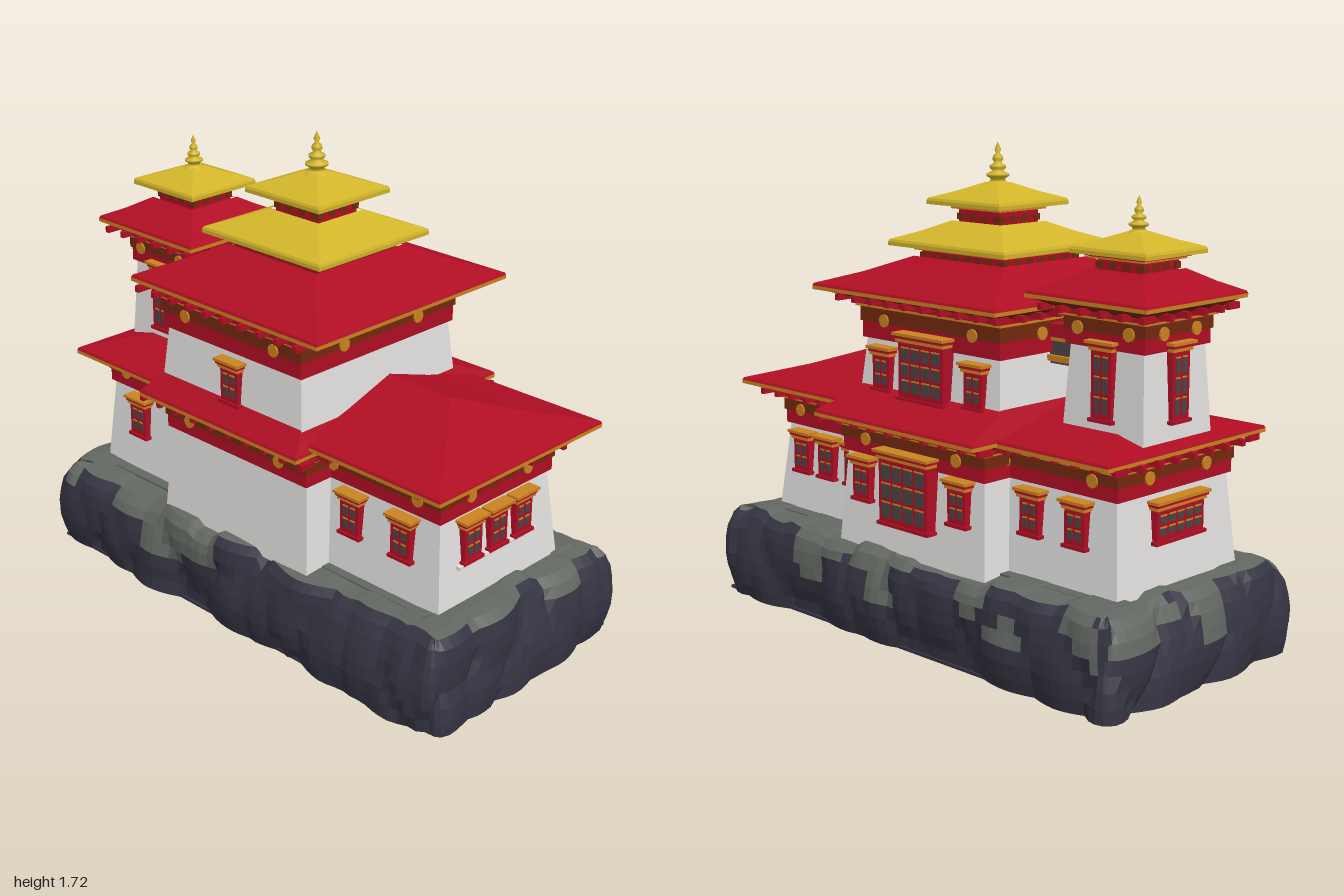
import * as THREE from 'three';

const mat = (name, color, side = THREE.FrontSide) => {
  const m = new THREE.MeshStandardMaterial({ color, side });
  m.name = name;
  return m;
};

export function createModel() {
  const model = new THREE.Group();
  model.name = 'fortressTemple';
  const red = mat('red', 0xb00e24), gold = mat('gold', 0xd2b52a), white = mat('whitewash', 0xe2e1e0);
  const orange = mat('orange', 0xcc8420), brown = mat('brown', 0x74290f), pane = mat('windowPane', 0x4a4644);
  const darkRock = mat('darkRock', 0x353442), greyRock = mat('greyRock', 0x636862);

  let seed = 11;
  const rand = () => (seed = (seed * 16807) % 2147483647) / 2147483647;

  const add = (name, geo, material, parent = model) => {
    const m = new THREE.Mesh(geo, material);
    m.name = name;
    parent.add(m);
    return m;
  };
  const unitBox = new THREE.BoxGeometry(1, 1, 1);
  const box = (name, w, h, d, x, y, z, material, parent) => {
    const m = add(name, unitBox, material, parent);
    m.scale.set(w, h, d);
    m.position.set(x, y, z);
    return m;
  };

  // Loft through rectangles [cx, cz, hx, hz, y], one material per step
  function loft(name, rings, mats, parent) {
    const pos = [], geo = new THREE.BufferGeometry();
    const corner = ([cx, cz, hx, hz, y], i) => {
      const [sx, sz] = [[-1, 1], [1, 1], [1, -1], [-1, -1]][i % 4];
      return [cx + sx * hx, y, cz + sz * hz];
    };
    for (let k = 0; k + 1 < rings.length; k++) {
      for (let i = 0; i < 4; i++) {
        const a = corner(rings[k], i), b = corner(rings[k], i + 1);
        const c = corner(rings[k + 1], i + 1), d = corner(rings[k + 1], i);
        pos.push(...a, ...b, ...c, ...a, ...c, ...d);
      }
      geo.addGroup(k * 24, 24, k);
    }
    geo.setAttribute('position', new THREE.Float32BufferAttribute(pos, 3));
    geo.computeVertexNormals();
    return add(name, geo, mats, parent);
  }

  // Hipped roof: soffit, rim, then a slightly concave slope up to the top rectangle
  function roof(name, inner, eave, top, skin, rim) {
    const [cx, cz, hx, hz, y] = eave, t = 0.022;
    const mid = eave.map((v, i) => v + (top[i] - v) * 0.5);
    mid[4] = y + t + (top[4] - y - t) * 0.43;
    loft(name, [inner, [cx, cz, hx - 0.012, hz - 0.012, y], eave, [cx, cz, hx, hz, y + t * 0.6],
      [cx, cz, hx - 0.004, hz - 0.004, y + t], mid, top], [brown, rim, rim, skin, skin, skin]);
  }

  // Evenly spaced blocks round a rectangle
  function blocks(name, [cx, cz, hx, hz, y], step, w, h, d, material) {
    const g = new THREE.Group();
    g.name = name;
    model.add(g);
    for (const s of [-1, 1]) {
      const nx = Math.round(2 * hx / step), nz = Math.round(2 * hz / step);
      for (let i = 0; i <= nx; i++) box('bracket', w, h, d, cx - hx + 2 * hx * i / nx, y, cz + s * hz, material, g);
      for (let i = 1; i < nz; i++) box('bracket', d, h, w, cx + s * hx, y, cz - hz + 2 * hz * i / nz, material, g);
    }
  }

  // Battered wall with layered bands on top; returns the ring where the soffit starts
  function storey(name, [cx, cz, hx, hz], taper, y0, y1, h) {
    const r = (o, y) => [cx, cz, hx - taper + o, hz - taper + o, y];
    const a = y1 + h * 0.42, b = y1 + h * 0.8, c = y1 + h * 0.88, d = y1 + h;
    loft(name + 'Wall', [[cx, cz, hx, hz, y0], r(0, y1)], [white]);
    loft(name + 'Bands', [r(0, y1), r(0.012, y1), r(0.012, a), r(0.018, a), r(0.018, b), r(0.03, b), r(0.03, c),
      r(0.04, c), r(0.04, d), r(0, d)], [red, red, brown, brown, orange, orange, red, red, red]);
    blocks(name + 'Brackets', r(0.06, d + 0.003), 0.085, 0.018, 0.022, 0.06, red);
    // round bosses on the bands
    const disc = new THREE.CylinderGeometry(0.023, 0.023, 0.008, 12).rotateX(Math.PI / 2);
    const dy = y1 + h * 0.5, ox = hx - taper + 0.02, oz = hz - taper + 0.02;
    for (const s of [-1, 1]) for (const t of [-1, 1]) {
      add('bandBoss', disc, orange).position.set(cx + s * hx * 0.62, dy, cz + t * oz);
      const m = add('bandBoss', disc, orange);
      m.rotation.y = Math.PI / 2;
      m.position.set(cx + t * ox, dy, cz + s * hz * 0.47);
    }
    return r(0.035, d);
  }

  // Framed window with panes, stepped lintel and sill; y is its middle
  function windowUnit(x, y, z, turn, w = 0.085, h = 0.125, cols = 2, rows = 2, depth = 0.036) {
    const g = new THREE.Group();
    g.name = 'window';
    g.position.set(x, y, z);
    g.rotation.y = turn;
    model.add(g);
    box('frame', w, h, depth, 0, 0, 0, red, g);
    const f = depth / 2, cw = (w - 0.018) / cols, ch = (h - 0.03) / rows;
    for (let i = 0; i < cols; i++) for (let j = 0; j < rows; j++) {
      const px = (i - (cols - 1) / 2) * cw, py = (j - (rows - 1) / 2) * ch - 0.002;
      box('pane', cw - 0.011, ch - 0.014, 0.004, px, py, f, pane, g);
      box('paneRail', cw - 0.011, 0.005, 0.006, px, py + ch / 2 - 0.006, f, orange, g);
    }
    box('lintel', w + 0.014, 0.012, depth + 0.016, 0, h / 2 + 0.002, 0, orange, g);
    box('lintelBeam', w + 0.022, 0.01, depth + 0.024, 0, h / 2 + 0.013, 0, red, g);
    box('lintelCap', w + 0.034, 0.01, depth + 0.036, 0, h / 2 + 0.023, 0, orange, g);
    box('sill', w + 0.016, 0.012, depth + 0.014, 0, -h / 2 - 0.004, 0, red, g);
  }

  // Small lantern storey between stacked roofs
  function neck(name, cx, cz, hx, hz, y0, y1) {
    const r = (o, y) => [cx, cz, hx + o, hz + o, y], m = y1 - 0.022;
    loft(name, [r(0, y0), r(0, m), r(0.02, m), r(0.02, m + 0.008), r(0.03, m + 0.008), r(0.03, y1)],
      [red, orange, orange, red, red]);
    blocks(name + 'Panes', [cx, cz, hx - 0.01, hz - 0.01, (y0 + m) / 2 + 0.004], 0.055, 0.034, 0.022, 0.026, brown);
    return r(0.02, y1);
  }

  function finial(x, y, z, s) {
    const profile = [[0.055, 0], [0.05, 0.012], [0.03, 0.02], [0.026, 0.03], [0.042, 0.04], [0.042, 0.048], [0.02, 0.058],
      [0.03, 0.07], [0.03, 0.078], [0.013, 0.088], [0.02, 0.1], [0.018, 0.112], [0.007, 0.122], [0.012, 0.136], [0, 0.165]];
    const m = add('finial', new THREE.LatheGeometry(profile.map(p => new THREE.Vector2(...p)), 16), gold);
    m.position.set(x, y, z);
    m.scale.setScalar(s);
  }

  // Rock base: rounded rectangle rings pushed in by chunky cells
  function rockBase() {
    const N = 168, per = 6.04, cells = [];
    for (let i = 0; i < 60; i++) {
      cells.push({ s: (i + rand() * 0.8) * per / 60, y: rand() * 0.34, tilt: rand() - 0.5, lean: rand() - 0.5,
        green: 0.1 + rand() * 0.42 });
    }
    const nearest = (s, y) => {
      let best = null, d = 9, ds = 0;
      for (const c of cells) {
        const u = ((s - c.s + per * 1.5) % per) - per / 2, e = Math.hypot(u, (y - c.y) * 0.8);
        if (e < d) { d = e; best = c; ds = u; }
      }
      return { c: best, d, ds };
    };
    const rows = [[0, 0], [0.05, 0], [0.1, 0], [0.15, 0.004], [0.2, 0.01], [0.25, 0.016], [0.29, 0.026], [0.318, 0.05],
      [0.325, 0.1], [0.33, 0.24]];
    const point = (i, k) => {
      const s = ((i % N) / N) * per, [y, inset] = rows[k], r = 0.09;
      let x, z;
      if (s < 2) [x, z] = [s - 1, 0.51];
      else if (s < 3.02) [x, z] = [1, 0.51 - (s - 2)];
      else if (s < 5.02) [x, z] = [1 - (s - 3.02), -0.51];
      else [x, z] = [-1, -0.51 + (s - 5.02)];
      const n = nearest(s, y), clamp = THREE.MathUtils.clamp;
      const push = k > 8 ? 0 : Math.min(0.05, n.d * n.d * 1.6 + Math.max(0, n.ds * n.c.tilt * 0.4 + (y - n.c.y) * n.c.lean * 0.2));
      const qx = clamp(x, -1 + r, 1 - r), qz = clamp(z, -0.51 + r, 0.51 - r);
      const l = Math.hypot(x - qx, z - qz), f = (r - push - inset) / l;
      return [qx + (x - qx) * f, y + (k > 5 && k < 9 ? n.c.lean * 0.03 : 0), qz + (z - qz) * f];
    };
    const dark = [], grey = [];
    for (let k = 0; k + 1 < rows.length; k++) for (let i = 0; i < N; i++) {
      const a = point(i, k), b = point(i + 1, k), c = point(i + 1, k + 1), d = point(i, k + 1);
      const cell = nearest((i + 0.5) / N * per, rows[k][0]).c;
      (k > 6 || rows[k][0] > cell.green ? grey : dark).push(...a, ...b, ...c, ...a, ...c, ...d);
    }
    for (const [name, pos, m] of [['rockSides', dark, darkRock], ['rockPatches', grey, greyRock]]) {
      const g = new THREE.BufferGeometry();
      g.setAttribute('position', new THREE.Float32BufferAttribute(pos, 3));
      g.computeVertexNormals();
      add(name, g, m);
    }
    box('rockTop', 1.6, 0.02, 0.7, 0, 0.319, 0, greyRock);
    box('rockUnderside', 1.9, 0.01, 0.94, 0, 0.006, 0, darkRock);
  }
  rockBase();

  // Main hall: lower storey with skirt roof, upper storey with stacked roofs
  let s = storey('lowerHall', [-0.02, 0, 0.365, 0.425], 0.025, 0.31, 0.645, 0.115);
  roof('skirtRoof', s, [-0.025, -0.008, 0.395, 0.507, 0.775], [-0.02, 0.05, 0.34, 0.37, 0.875], red, orange);
  s = storey('upperHall', [-0.015, 0.052, 0.352, 0.386], 0.024, 0.79, 1.04, 0.14);
  roof('hallRoof', s, [0.017, 0.035, 0.453, 0.465, 1.205], [-0.015, 0.025, 0.22, 0.21, 1.325], red, orange);
  s = neck('hallLantern', -0.015, 0.02, 0.2, 0.185, 1.3, 1.37);
  roof('lowerGoldRoof', s, [-0.015, 0.02, 0.285, 0.267, 1.362], [-0.015, 0.015, 0.12, 0.11, 1.45], gold, gold);
  s = neck('upperLantern', -0.015, 0.015, 0.1, 0.095, 1.43, 1.515);
  roof('upperGoldRoof', s, [-0.015, 0.01, 0.178, 0.172, 1.508], [-0.015, 0.012, 0.03, 0.03, 1.585], gold, gold);
  finial(-0.015, 1.568, 0.012, 0.95);

  // Wings
  s = storey('leftWing', [-0.55, 0, 0.31, 0.31], 0.03, 0.31, 0.645, 0.115);
  roof('leftWingRoof', s, [-0.595, 0.003, 0.3, 0.405, 0.772], [-0.47, 0, 0.15, 0, 0.868], red, orange);
  s = storey('rightWing', [0.54, 0.008, 0.305, 0.31], 0.035, 0.31, 0.645, 0.12);
  roof('rightWingRoof', s, [0.62, 0.012, 0.31, 0.415, 0.797], [0.45, 0, 0.15, 0, 0.932], red, orange);

  // Left tower
  s = storey('tower', [-0.67, 0, 0.175, 0.175], 0.02, 0.77, 1.1, 0.12);
  roof('towerRoof', s, [-0.662, -0.004, 0.258, 0.257, 1.25], [-0.665, 0, 0.11, 0.11, 1.345], red, orange);
  s = neck('towerLantern', -0.665, 0, 0.095, 0.09, 1.33, 1.4);
  roof('towerGoldRoof', s, [-0.664, 0, 0.162, 0.156, 1.395], [-0.665, 0, 0.025, 0.025, 1.465], gold, gold);
  finial(-0.665, 1.453, 0, 0.78);

  // Covered bridge from tower to hall
  box('bridgeWall', 0.2, 0.13, 0.14, -0.43, 1.065, 0, pane);
  box('bridgeSill', 0.2, 0.02, 0.17, -0.43, 1.02, 0, orange);
  box('bridgeBeam', 0.2, 0.012, 0.155, -0.43, 1.085, 0, orange);
  box('bridgeRoof', 0.2, 0.045, 0.19, -0.43, 1.118, 0, red);

  // Windows: front, right, back, left
  const R = Math.PI / 2, B = Math.PI, L = -Math.PI / 2;
  windowUnit(-0.665, 0.54, 0.297, 0);
  windowUnit(-0.005, 0.925, 0.426, 0);
  for (const x of [0.44, 0.67]) windowUnit(x, 0.54, 0.3, 0);
  for (const z of [0.15, 0.02, -0.11]) windowUnit(0.825, 0.54, z, R);
  box('sillLedge', 0.03, 0.012, 0.4, 0.832, 0.465, 0.02, white);
  for (const x of [0.42, 0.57, 0.71]) windowUnit(x, 0.54, -0.285, B);
  for (const x of [-0.48, -0.68]) windowUnit(x, 0.54, -0.297, B);
  for (const x of [-0.26, 0.22]) {
    windowUnit(x, 0.55, -0.415, B);
    windowUnit(x * 0.95, 0.93, -0.325, B);
  }
  windowUnit(-0.02, 0.55, -0.42, B, 0.24, 0.23, 4, 3, 0.07);
  windowUnit(-0.015, 0.96, -0.328, B, 0.22, 0.2, 4, 3, 0.07);
  windowUnit(-0.845, 0.54, 0, L, 0.24, 0.11, 5, 2);
  windowUnit(-0.67, 0.985, 0.164, 0, 0.085, 0.23, 2, 3);
  windowUnit(-0.67, 0.985, -0.164, B, 0.085, 0.23, 2, 3);
  windowUnit(-0.834, 0.985, 0, L, 0.085, 0.23, 2, 3);

  return model;
}
